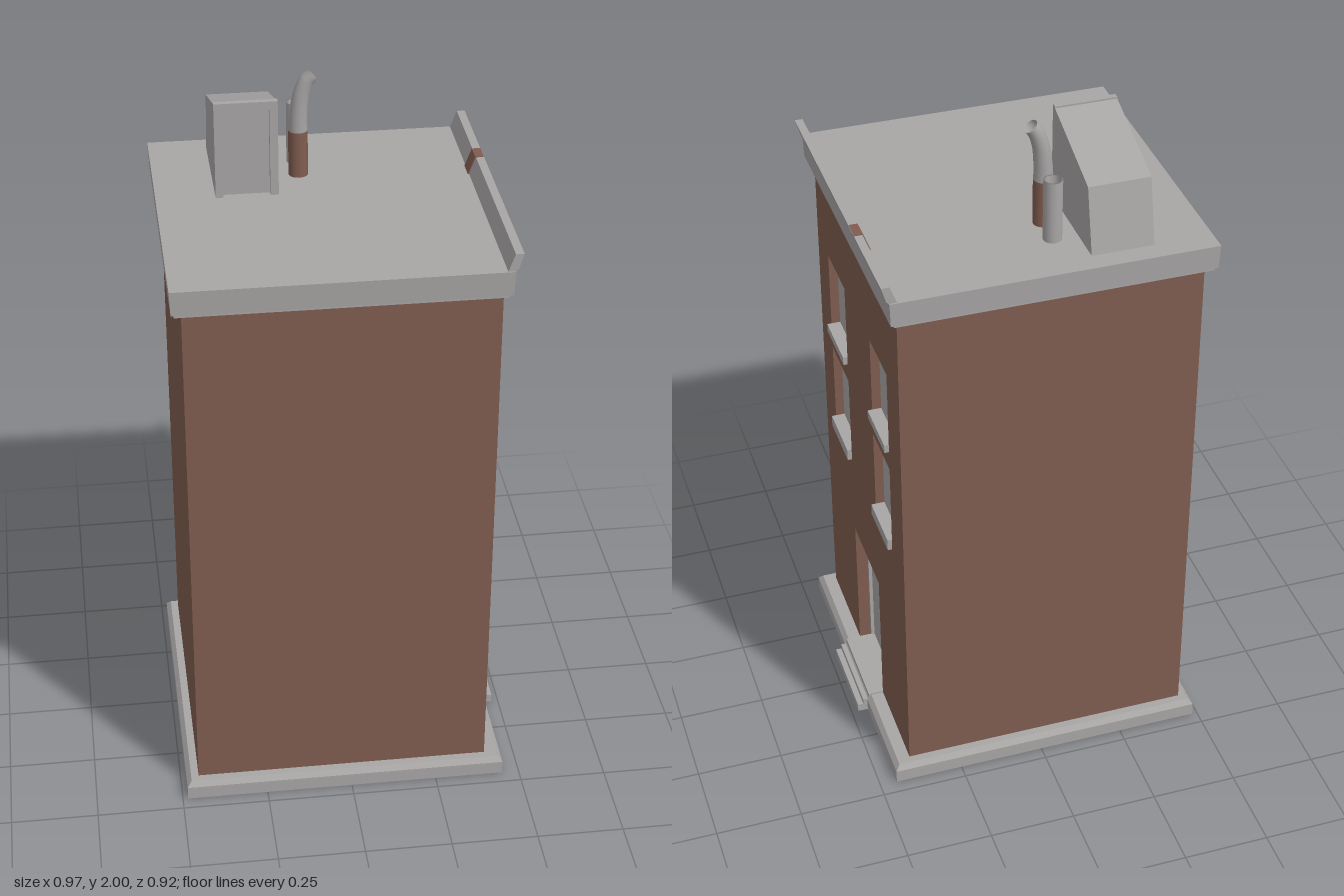
import * as THREE from 'three';

export function createModel() {
  const model = new THREE.Group();
  const mat = (name, color) => Object.assign(new THREE.MeshStandardMaterial({ color }), { name });
  const brick = mat('brick', 0x805d4f);
  const stone = mat('stone', 0xa8a5a5);
  const pipeMetal = mat('pipe metal', 0xa8a5a5);
  pipeMetal.side = THREE.DoubleSide;

  const add = (name, geometry, material) => {
    const mesh = new THREE.Mesh(geometry, material);
    mesh.name = name;
    model.add(mesh);
    return mesh;
  };

  // Box from its limits; the top can be inset to make a chamfer or flare
  const block = (name, [x0, x1], [y0, y1], [z0, z1], material, inset = 0) => {
    const g = new THREE.BoxGeometry(x1 - x0, y1 - y0, z1 - z0);
    const p = g.attributes.position;
    for (let i = 0; i < p.count; i++) {
      if (p.getY(i) > 0) {
        p.setX(i, p.getX(i) - Math.sign(p.getX(i)) * inset);
        p.setZ(i, p.getZ(i) - Math.sign(p.getZ(i)) * inset);
      }
    }
    g.computeVertexNormals();
    g.translate((x0 + x1) / 2, (y0 + y1) / 2, (z0 + z1) / 2);
    return add(name, g, material);
  };

  const polygon = pts => new THREE.Shape(pts.map(([u, v]) => new THREE.Vector2(u, v)));
  const rect = (u0, u1, v0, v1) => [[u0, v0], [u1, v0], [u1, v1], [u0, v1]];
  const extrude = (shape, depth) => new THREE.ExtrudeGeometry(shape, { depth, bevelEnabled: false });
  // Profile drawn in (-z, y), extruded from x0 to x1
  const alongX = (shape, x0, x1) => extrude(shape, x1 - x0).rotateY(Math.PI / 2).translate(x0, 0, 0);

  // Base slab with a chamfered upper edge
  block('baseSlab', [-0.485, 0.45], [0, 0.04], [-0.46, 0.46], stone);
  block('baseChamfer', [-0.485, 0.45], [0.04, 0.055], [-0.46, 0.46], stone, 0.013);

  // Brick body and pierced street wall
  block('brickBody', [-0.45, 0.35], [0.05, 1.61], [-0.425, 0.425], brick);
  const wall = polygon([
    [-0.425, 0.05], [-0.13, 0.05], [-0.13, 0.49], [0.135, 0.49],
    [0.135, 0.05], [0.425, 0.05], [0.425, 1.61], [-0.425, 1.61],
  ]);
  const columns = [[-0.31, -0.13], [0.135, 0.305]];
  const rows = [[0.755, 1.04, 0.79], [1.1, 1.36, 1.125]];
  for (const [u0, u1] of columns) {
    for (const [v0, v1, sillTop] of rows) {
      wall.holes.push(polygon(rect(u0, u1, v0, v1)));
      block('windowPane', [0.345, 0.374], [v0, v1 - 0.006], [-u1, -u0], stone);
      block('windowSill', [0.37, 0.413], [v0, sillTop], [-u1, -u0], stone);
    }
  }
  add('streetWall', alongX(wall, 0.35, 0.4), brick);

  // Street door, frame and steps
  block('door', [0.345, 0.355], [0.05, 0.49], [-0.135, 0.13], stone);
  const doorFrame = polygon(rect(-0.13, 0.135, 0.05, 0.49));
  doorFrame.holes.push(polygon(rect(-0.122, 0.127, 0.051, 0.482)));
  add('doorFrame', alongX(doorFrame, 0.355, 0.365), stone);
  [[0.48, 0.025], [0.463, 0.042], [0.445, 0.06]].forEach(([x, y]) =>
    block('doorStep', [0.352, x], [0, y], [-0.137, 0.125], stone));

  // Roof slab on a narrow moulding
  block('roofMoulding', [-0.47, 0.412], [1.605, 1.616], [-0.445, 0.445], stone);
  block('roofSlab', [-0.478, 0.422], [1.614, 1.685], [-0.451, 0.451], stone, -0.003);

  // Leaning parapet above the street wall, with a brick patch
  const parapet = polygon([[0.402, 1.68], [0.421, 1.68], [0.432, 1.692], [0.445, 1.735], [0.422, 1.735]]);
  add('parapet', extrude(parapet, 0.9).translate(0, 0, -0.45), stone);
  const patch = polygon([[0.4, 1.684], [0.41, 1.684], [0.444, 1.735], [0.444, 1.737], [0.42, 1.737]]);
  add('parapetPatch', extrude(patch, 0.055).translate(0, 0, -0.19), brick);

  // Stair hut with sloping roof and recessed door
  const hut = polygon([[0.09, 1.68], [0.397, 1.68], [0.355, 1.87], [0.09, 1.96]]);
  add('stairHut', alongX(hut, -0.315, -0.14), stone);
  const hutFront = polygon(rect(-0.315, -0.14, 1.68, 1.965));
  hutFront.holes.push(polygon(rect(-0.293, -0.163, 1.683, 1.94)));
  add('hutDoorFrame', extrude(hutFront, 0.017).translate(0, 0, -0.09), stone);

  // Straight open vent
  const vent = [[0.026, 0], [0.026, 0.185], [0.021, 0.185], [0.021, 0.02], [0, 0.02]];
  const ventGeometry = new THREE.LatheGeometry(vent.map(([r, y]) => new THREE.Vector2(r, y)), 20);
  add('straightVent', ventGeometry, pipeMetal).position.set(-0.07, 1.68, -0.283);

  // Bent vent with a brick coloured foot and a tapering elbow
  add('bentVentFoot', new THREE.CylinderGeometry(0.0275, 0.0275, 0.14, 20).translate(-0.072, 1.75, -0.198), brick);
  const bend = new THREE.CatmullRomCurve3([[-0.072, 1.8], [-0.071, 1.86], [-0.063, 1.925], [-0.047, 1.968], [-0.035, 1.983]]
    .map(([x, y]) => new THREE.Vector3(x, y, -0.198)));
  const elbow = new THREE.TubeGeometry(bend, 16, 1, 20);
  const p = elbow.attributes.position;
  const v = new THREE.Vector3();
  for (let i = 0; i < p.count; i++) {
    const t = Math.floor(i / 21) / 16;
    const c = bend.getPointAt(t);
    v.fromBufferAttribute(p, i).sub(c).multiplyScalar(0.0275 - 0.0065 * t).add(c);
    p.setXYZ(i, v.x, v.y, v.z);
  }
  add('bentVentElbow', elbow, pipeMetal);

  return model;
}
